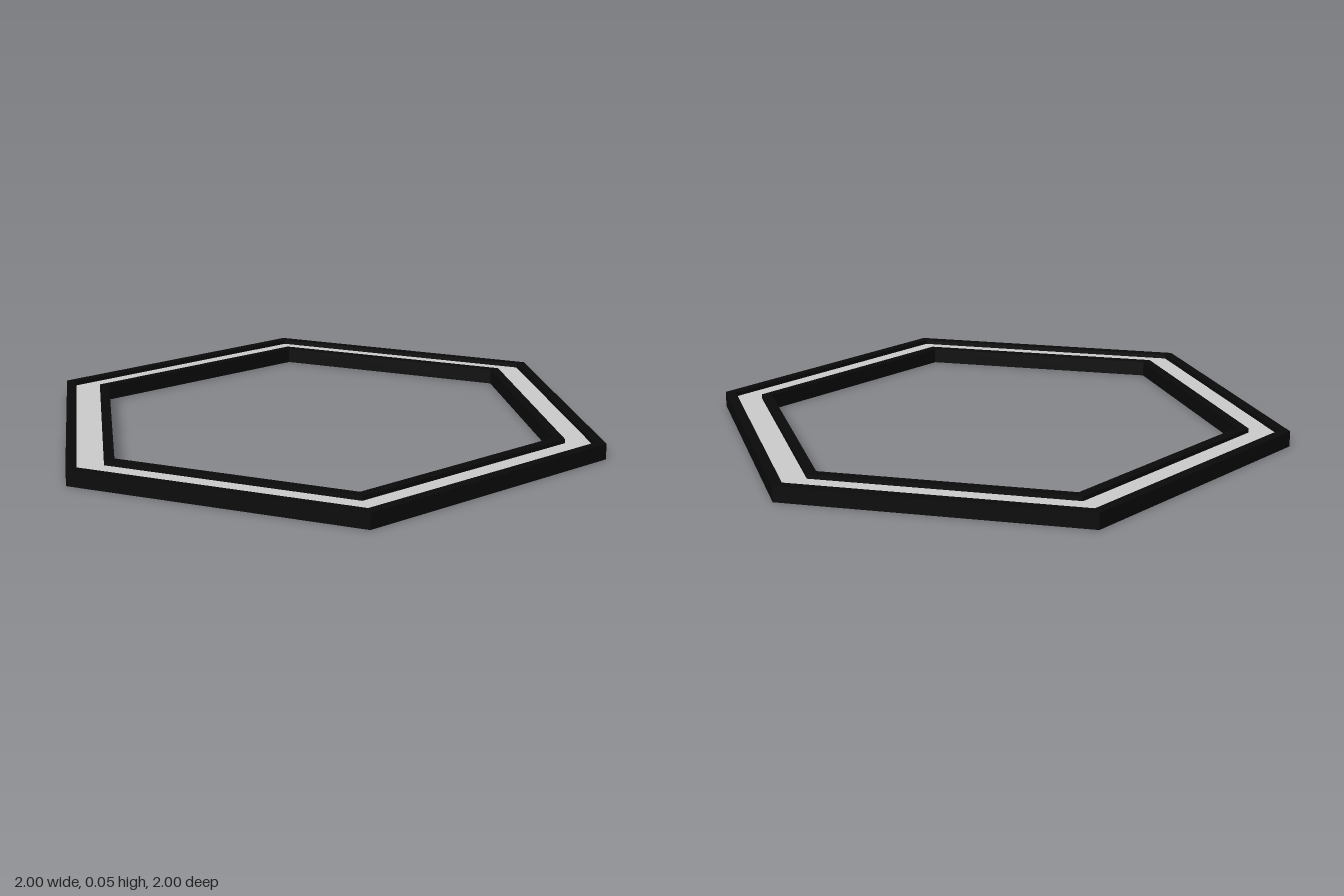
import * as THREE from 'three';

const HEIGHT = 0.055, FLOOR = 0.039;
const R_OUT = 1.035, R_GROOVE_OUT = 0.995, R_GROOVE_IN = 0.893, R_IN = 0.853;

// Sweeps a cross-section of [radius, height] points around a hexagon
function hexRing(name, profile, color) {
  const points = profile.map(([r, y]) => new THREE.Vector2(r, y));
  const geometry = new THREE.LatheGeometry(points, 6, Math.PI / 4).toNonIndexed();
  geometry.computeVertexNormals();
  const material = new THREE.MeshStandardMaterial({ color, flatShading: true });
  const mesh = new THREE.Mesh(geometry, material);
  mesh.name = name;
  return mesh;
}

export function createModel() {
  const group = new THREE.Group();
  group.name = 'hexagonalRing';

  // Dark frame: underside, outer wall, two raised rims and inner wall
  group.add(hexRing('frame', [
    [R_IN, 0], [R_OUT, 0], [R_OUT, HEIGHT], [R_GROOVE_OUT, HEIGHT],
    [R_GROOVE_OUT, FLOOR], [R_GROOVE_IN, FLOOR], [R_GROOVE_IN, HEIGHT],
    [R_IN, HEIGHT], [R_IN, 0],
  ], 0x0a0a0a));

  // Light band lying in the groove between the rims
  group.add(hexRing('inlay', [
    [R_GROOVE_OUT, FLOOR + 0.001], [R_GROOVE_IN, FLOOR + 0.001],
  ], 0xcccccc));

  return group;
}
